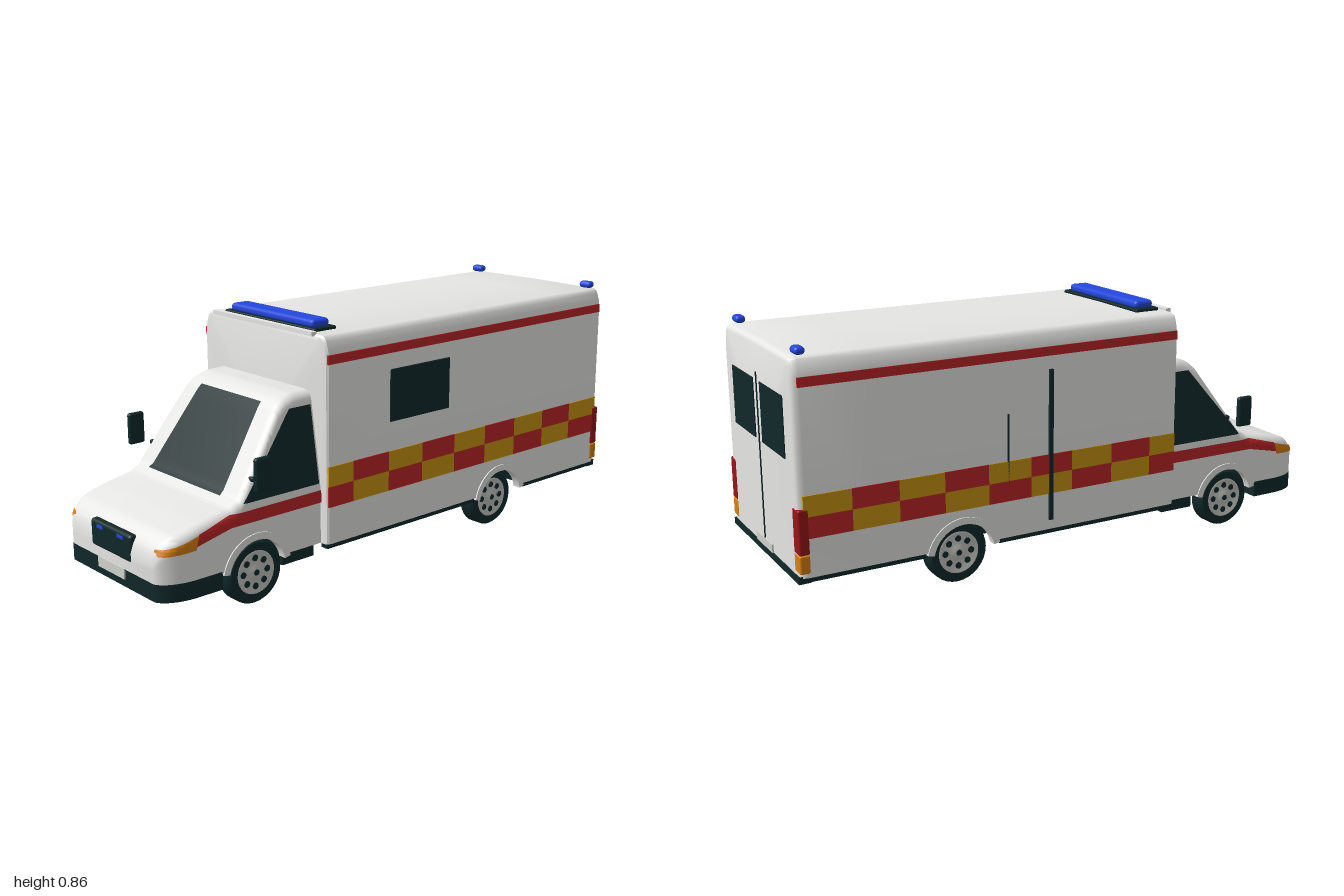
import * as THREE from 'three';
import { toCreasedNormals } from 'three/addons/utils/BufferGeometryUtils.js';
import { RoundedBoxGeometry } from 'three/addons/geometries/RoundedBoxGeometry.js';

const mat = (name, color) => {
  const m = new THREE.MeshStandardMaterial({ color });
  m.name = name;
  return m;
};
const lerp = THREE.MathUtils.lerp, clamp = THREE.MathUtils.clamp;
const WHEEL_Y = 0.106, FRONT_Z = 0.65, REAR_Z = -0.442, ARCH = 0.13;

// Roofline, windscreen and bonnet as [z, y]
const TOP = [[0.38, 0.642], [0.46, 0.64], [0.5, 0.626], [0.53, 0.6], [0.705, 0.355], [0.745, 0.332],
  [0.85, 0.312], [0.94, 0.288], [0.972, 0.265], [0.988, 0.24], [0.995, 0.21]];
function cabTop(z) {
  for (let i = 1; i < TOP.length; i++) {
    const [z0, y0] = TOP[i - 1], [z1, y1] = TOP[i];
    if (z <= z1) return lerp(y0, y1, (z - z0) / (z1 - z0));
  }
  return 0.21;
}
// Cab half width, with tapering windows and rounded front corners
function cabWidth(z, y) {
  const f = clamp((z - 0.875) / 0.122, 0, 1);
  return 0.288 - 0.042 * clamp((y - 0.34) / 0.27, 0, 1) - 0.07 * (1 - Math.sqrt(1 - f * f));
}
const edgeRadius = z => Math.min(0.035, (cabTop(z) - 0.13) * 0.25);
function cabSide(z, y) {
  const r = edgeRadius(z), yc = cabTop(z) - r;
  if (y <= yc) return cabWidth(z, y);
  const s = Math.min(1, (y - yc) / r);
  return cabWidth(z, yc) - r * (1 - Math.sqrt(1 - s * s));
}
// Lower edge of the bodywork, raised over a wheel
const bottomEdge = (z, cz) => Math.max(0.14, WHEEL_Y + Math.sqrt(Math.max(0, ARCH * ARCH - (z - cz) ** 2)));

function buildGeometry(pos, idx) {
  const g = new THREE.BufferGeometry();
  g.setAttribute('position', new THREE.Float32BufferAttribute(pos, 3));
  g.setIndex(idx);
  return toCreasedNormals(g, 0.6);
}
// Skin and underside through half rings listed from front to back
function loft(halfRings) {
  const rings = halfRings.map(({ z, pts }) =>
    [...pts, ...pts.map(([x, y]) => [-x, y]).reverse()].map(([x, y]) => [x, y, z]));
  const n = rings[0].length, pos = rings.flat(2), skin = [], under = [];
  for (let i = 0; i < rings.length - 1; i++) {
    const a = i * n, c = a + n;
    for (let j = 0; j < n - 1; j++) skin.push(a + j, c + j, a + j + 1, a + j + 1, c + j, c + j + 1);
    under.push(a, a + n - 1, c, a + n - 1, c + n - 1, c);
  }
  [0, rings.length - 1].forEach(i => {
    const mid = pos.length / 3, p = rings[i];
    pos.push(0, (p[0][1] + p[n / 2][1]) / 2, p[0][2]);
    for (let j = 0; j < n; j++) {
      const a = i * n + j, b = i * n + (j + 1) % n;
      skin.push(...(i ? [mid, b, a] : [mid, a, b]));
    }
  });
  return [buildGeometry(pos, skin), buildGeometry(pos, under)];
}
// Section positions, dense around a wheel arch
function sections(zs, cz) {
  for (let i = 0; i <= 24; i++) zs.push(cz + 0.1257 * Math.cos(i * Math.PI / 24));
  return zs.sort((a, b) => b - a);
}
// Thin painted surface following a rule f(u, v)
function patch(f, flip = false, nu = 24, nv = 12) {
  const pos = [], idx = [];
  for (let j = 0; j <= nv; j++) for (let i = 0; i <= nu; i++) pos.push(...f(i / nu, j / nv));
  for (let j = 0; j < nv; j++) for (let i = 0; i < nu; i++) {
    const a = j * (nu + 1) + i, b = a + 1, c = a + nu + 1, d = c + 1;
    idx.push(...(flip ? [a, c, b, b, c, d] : [a, b, c, b, d, c]));
  }
  return buildGeometry(pos, idx);
}

export function createModel() {
  const model = new THREE.Group();
  model.name = 'ambulance';
  const white = mat('body white', 0xe6e6e4), dark = mat('dark glass and rubber', 0x10282a);
  const red = mat('stripe red', 0xbe2428), yellow = mat('check yellow', 0xc8940f);
  const blue = mat('beacon blue', 0x2348dc), orange = mat('indicator orange', 0xd87f12);
  const tailRed = mat('tail light red', 0x981416), silver = mat('wheel silver', 0xc4c4c0);
  const plate = mat('plate grey', 0xd0d4cc);

  const add = (name, geo, m, x = 0, y = 0, z = 0) => {
    const mesh = new THREE.Mesh(geo, m);
    mesh.name = name;
    mesh.position.set(x, y, z);
    model.add(mesh);
    return mesh;
  };
  // Box given by its limits
  const box = (name, m, x0, x1, y0, y1, z0, z1, r = 0) => {
    const s = [x1 - x0, y1 - y0, z1 - z0];
    const g = r ? new RoundedBoxGeometry(...s, 3, r) : new THREE.BoxGeometry(...s);
    return add(name, g, m, (x0 + x1) / 2, (y0 + y1) / 2, (z0 + z1) / 2);
  };

  // Rear box body with softened ends
  const boxZ = [0.39, 0.387, 0.38, 0.2, -0.1, -0.75, -0.97, -0.985, -0.992, -0.995];
  const [bodySkin, bodyUnder] = loft(sections(boxZ, REAR_Z).map(z => {
    const f = Math.max(0, (z - 0.38) / 0.01, (-0.97 - z) / 0.025);
    const e = 0.018 * (1 - Math.sqrt(Math.max(0, 1 - f * f)));
    const shape = [[0.32, bottomEdge(z, REAR_Z)], [0.32, 0.26], [0.32, 0.76], [0.317, 0.782],
      [0.309, 0.805], [0.302, 0.817], [0.29, 0.823], [0.001, 0.826]];
    return { z, pts: shape.map(([x, y]) => [Math.max(0.001, x - e), y > 0.5 ? y - e : y]) };
  }));
  add('boxBody', bodySkin, white);
  add('boxUnderside', bodyUnder, dark);

  // Cab
  const cabZ = [0.99, 0.995, 0.985];
  for (let z = 0.38; z < 0.98; z += 0.0125) cabZ.push(z);
  const [cabSkin, cabUnder] = loft(sections(cabZ, FRONT_Z).map(z => {
    const b = bottomEdge(z, FRONT_Z), r = edgeRadius(z), yc = cabTop(z) - r, pts = [];
    for (let i = 0; i <= 10; i++) {
      const y = lerp(b, yc, i / 10);
      pts.push([cabWidth(z, y), y]);
    }
    for (let i = 1; i <= 5; i++) {
      const a = i * Math.PI / 10;
      pts.push([cabWidth(z, yc) - r * (1 - Math.cos(a)), yc + r * Math.sin(a)]);
    }
    return { z, pts };
  }));
  add('cab', cabSkin, white);
  add('cabUnderside', cabUnder, dark);

  // Windscreen
  add('windscreen', patch((u, v) => {
    const z = lerp(0.718, 0.522, v);
    return [lerp(-1, 1, u) * lerp(0.197, 0.16, v), cabTop(z) + 0.006, z + 0.003];
  }), dark);

  // Cab side windows, stripes and headlights: corners rear-low, rear-high, front-high, front-low as [z, y]
  const cabPatch = (name, m, rl, rh, fh, fl) => [1, -1].forEach(s =>
    add(name, patch((u, v) => {
      const z = lerp(lerp(fl[0], fh[0], v), lerp(rl[0], rh[0], v), u);
      const y = lerp(lerp(fl[1], fh[1], v), lerp(rl[1], rh[1], v), u);
      return [s * (cabSide(z, y) + 0.006), y, z];
    }, s < 0), m));
  cabPatch('sideWindow', dark, [0.4, 0.345], [0.4, 0.6], [0.488, 0.6], [0.7, 0.345]);
  cabPatch('cabStripe', red, [0.392, 0.28], [0.392, 0.322], [0.75, 0.32], [0.75, 0.28]);
  cabPatch('cabStripeTip', red, [0.75, 0.28], [0.75, 0.32], [0.868, 0.287], [0.878, 0.252]);
  cabPatch('headlight', orange, [0.88, 0.242], [0.868, 0.285], [0.984, 0.252], [0.987, 0.234]);

  // Front bumper following the cab corners
  const plan = [];
  for (let i = 0; i <= 16; i++) {
    const z = lerp(0.785, 0.995, Math.sin(i * Math.PI / 32));
    plan.push(new THREE.Vector2(cabWidth(z, 0.12) + 0.002, -z));
  }
  const bumperShape = new THREE.Shape([...plan, ...plan.map(p => new THREE.Vector2(-p.x, p.y)).reverse()]);
  const bumper = new THREE.ExtrudeGeometry(bumperShape, { depth: 0.057, bevelEnabled: false });
  add('frontBumper', bumper.rotateX(-Math.PI / 2), dark, 0, 0.089, 0);

  // Grille, its lamps and the plates
  box('grille', dark, -0.115, 0.115, 0.176, 0.266, 0.968, 0.998, 0.012);
  [-1, 1].forEach(s => box('grilleLamp', blue, s * 0.058 - 0.017, s * 0.058 + 0.017, 0.244, 0.255, 0.99, 0.9995));
  box('frontPlate', plate, -0.075, 0.075, 0.115, 0.149, 0.99, 1);
  box('rearPlate', plate, -0.075, 0.075, 0.143, 0.172, -1, -0.99);

  // Chequered band, roof stripe, sills and tail lights on both sides
  [1, -1].forEach(s => {
    const side = (name, m, y0, y1, z0, z1) => {
      const t = box(name, m, 0.317, 0.323, y0, y1, z0, z1);
      t.position.x *= s;
    };
    for (let k = 0; k < 9; k++) {
      const z1 = k ? 0.278 - 0.157 * (k - 1) : 0.384, z0 = 0.278 - 0.157 * k;
      side('upperCheck', k % 2 ? red : yellow, 0.335, 0.402, z0, z1);
      side('lowerCheck', k % 2 ? yellow : red, 0.266, 0.335, z0, z1);
    }
    side('roofStripe', red, 0.735, 0.765, -0.978, 0.384);
    [[-0.31, 0.385], [-0.99, -0.574]].forEach(([z0, z1]) =>
      box('sill', dark, s * 0.3 - 0.015, s * 0.3 + 0.015, 0.124, 0.146, z0, z1));
    const corner = (name, m, y0, y1) => {
      box(name, m, 0.275, 0.325, y0, y1, -0.997, -0.963, 0.006).position.x *= s;
    };
    corner('tailLight', tailRed, 0.215, 0.36);
    corner('rearIndicator', orange, 0.155, 0.215);
    // Rear door window, mirror, underbody bracket and rear beacon
    box('rearWindow', dark, s * 0.135 - 0.103, s * 0.135 + 0.103, 0.5, 0.695, -0.998, -0.99);
    box('mirror', dark, s * 0.347 - 0.01, s * 0.347 + 0.01, 0.393, 0.502, 0.64, 0.7, 0.009);
    box('mirrorMount', dark, s * 0.272 - 0.012, s * 0.272 + 0.012, 0.402, 0.418, 0.64, 0.66, 0.006);
    box('underBracket', dark, s * 0.112 - 0.028, s * 0.112 + 0.028, 0.054, 0.13, 0.46, 0.545);
    box('rearBeacon', blue, s * 0.275 - 0.026, s * 0.275 + 0.026, 0.825, 0.85, -0.972, -0.938, 0.012);
  });
  box('saloonWindow', dark, 0.316, 0.324, 0.502, 0.68, -0.163, 0.115, 0.0035);
  box('slidingDoorRail', dark, -0.329, -0.318, 0.175, 0.69, -0.126, -0.112);
  box('slidingDoorGap', dark, -0.323, -0.318, 0.28, 0.56, -0.28, -0.275);
  box('rearDoorGap', dark, -0.003, 0.003, 0.16, 0.72, -0.998, -0.99);
  box('rearBumper', dark, -0.315, 0.315, 0.122, 0.144, -1, -0.96);

  // Roof light bar and front roof lip
  box('lightBarBase', dark, -0.235, 0.235, 0.82, 0.834, 0.272, 0.366, 0.005);
  box('lightBar', blue, -0.215, 0.215, 0.83, 0.858, 0.283, 0.356, 0.012);
  box('roofLip', white, -0.26, 0.26, 0.818, 0.832, 0.378, 0.398);

  // Underbody
  box('chassis', dark, -0.19, 0.19, 0.115, 0.25, -0.95, 0.94);
  box('step', dark, -0.25, 0.25, 0.085, 0.15, 0.39, 0.52);

  // Wheels, axles and arches
  const tyreProfile = [[0.07, -0.032], [0.097, -0.032], [0.105, -0.022], [0.105, 0.022], [0.097, 0.032],
    [0.072, 0.032], [0.068, 0.018]].map(p => new THREE.Vector2(...p));
  const tyreGeo = toCreasedNormals(new THREE.LatheGeometry(tyreProfile, 32), 0.5);
  const rimProfile = [[0.073, 0.031], [0.066, 0.034], [0.06, 0.028], [0.03, 0.026], [0.024, 0.034], [0.0001, 0.035]]
    .map(p => new THREE.Vector2(...p));
  const rimGeo = new THREE.LatheGeometry(rimProfile, 32);
  const archShape = new THREE.Shape();
  archShape.absarc(0, 0, 0.133, 0.2, Math.PI - 0.2, false);
  archShape.absarc(0, 0, 0.11, Math.PI - 0.2, 0.2, true);
  const archGeo = new THREE.ExtrudeGeometry(archShape, { depth: 0.03, bevelEnabled: false, curveSegments: 24 });
  [[FRONT_Z, 0.288], [REAR_Z, 0.32]].forEach(([z, w]) => {
    add('axle', new THREE.CylinderGeometry(0.03, 0.03, 0.46, 12).rotateZ(Math.PI / 2), dark, 0, WHEEL_Y, z);
    [1, -1].forEach(s => {
      const wheel = new THREE.Group();
      wheel.name = 'wheel';
      wheel.position.set(s * 0.248, WHEEL_Y, z);
      wheel.rotation.z = -s * Math.PI / 2;
      const part = (name, geo, m, x = 0, y = 0, pz = 0) => {
        const p = new THREE.Mesh(geo, m);
        p.name = name;
        p.position.set(x, y, pz);
        wheel.add(p);
      };
      part('tyre', tyreGeo, dark);
      part('innerDisc', new THREE.CylinderGeometry(0.075, 0.075, 0.04, 24), dark, 0, -0.011);
      part('rim', rimGeo, silver);
      for (let k = 0; k < 8; k++) {
        const a = k * Math.PI / 4;
        part('rimHole', new THREE.CylinderGeometry(0.011, 0.011, 0.006, 10), dark,
          0.047 * Math.cos(a), 0.027, 0.047 * Math.sin(a));
      }
      part('hub', new THREE.CylinderGeometry(0.01, 0.01, 0.006, 12), dark, 0, 0.034);
      model.add(wheel);
      const arch = add('wheelArch', archGeo, white, s > 0 ? w - 0.026 : -w - 0.004, WHEEL_Y, z);
      arch.rotation.y = Math.PI / 2;
    });
  });
  return model;
}
